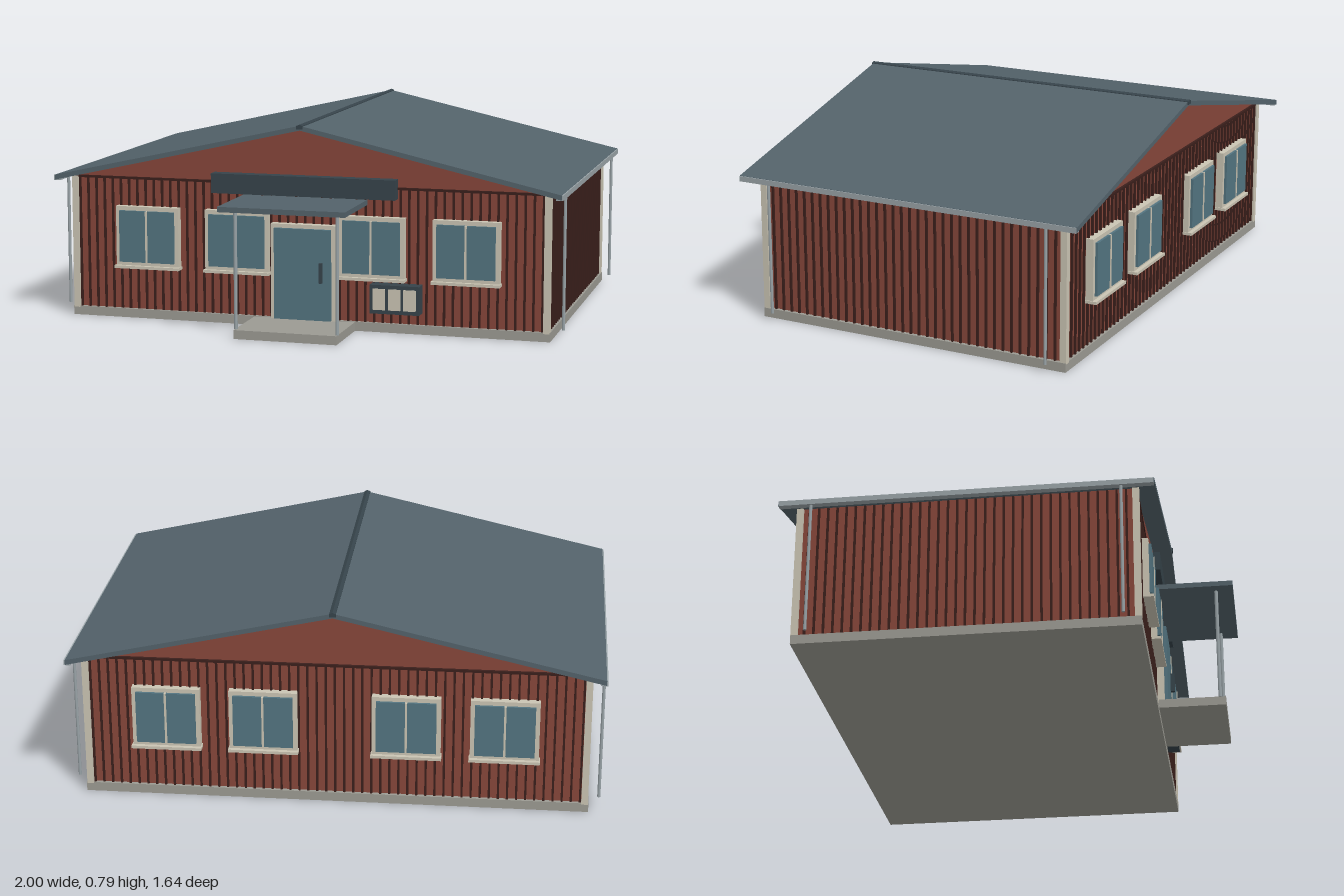
import * as THREE from 'three';

const paint = (color) => new THREE.MeshStandardMaterial({ color });
const RED = paint(0x86463a), DARK_RED = paint(0x3a1f1b), ROOF = paint(0x53626a), DARK = paint(0x36434a);
const TRIM = paint(0xcac4b3), GLASS = paint(0x537480), STONE = paint(0x9b9a92), METAL = paint(0x98a2a6);

// Box given by its lower and upper limits on each axis
function box(parent, name, mat, [x0, x1], [y0, y1], [z0, z1]) {
  const mesh = new THREE.Mesh(new THREE.BoxGeometry(x1 - x0, y1 - y0, z1 - z0), mat);
  mesh.position.set((x0 + x1) / 2, (y0 + y1) / 2, (z0 + z1) / 2);
  mesh.name = name;
  parent.add(mesh);
  return mesh;
}

// Vertical round pole
function pole(parent, name, mat, x, z, r, y0, y1) {
  const mesh = new THREE.Mesh(new THREE.CylinderGeometry(r, r, y1 - y0, 12), mat);
  mesh.position.set(x, (y0 + y1) / 2, z);
  mesh.name = name;
  parent.add(mesh);
}

// Outline in x and y, extruded symmetrically along z
function prism(parent, name, mat, points, halfDepth) {
  const shape = new THREE.Shape(points.map(([x, y]) => new THREE.Vector2(x, y)));
  const geo = new THREE.ExtrudeGeometry(shape, { depth: halfDepth * 2, bevelEnabled: false });
  geo.translate(0, 0, -halfDepth);
  const mesh = new THREE.Mesh(geo, mat);
  mesh.name = name;
  parent.add(mesh);
}

// Two-pane window; z = 0 is the wall face
function makeWindow(x) {
  const g = new THREE.Group();
  g.name = 'window';
  g.position.x = x;
  const w = 0.128, y0 = 0.208, y1 = 0.443;
  box(g, 'windowFrame', TRIM, [-w, w], [y0, y1], [-0.01, 0.03]);
  for (const s of [-1, 1]) {
    const a = s * 0.004, b = s * (w - 0.016);
    box(g, 'windowPane', GLASS, [Math.min(a, b), Math.max(a, b)], [y0 + 0.017, y1 - 0.016], [0.01, 0.04]);
  }
  box(g, 'windowMullion', TRIM, [-0.004, 0.004], [y0 + 0.017, y1 - 0.016], [0.01, 0.043]);
  box(g, 'windowSill', TRIM, [-w - 0.004, w + 0.004], [0.2, 0.211], [-0.01, 0.046]);
  return g;
}

// Gable wall furniture shared by the front and the back; z = 0 is the wall face
function makeGableSide() {
  const g = new THREE.Group();
  g.name = 'gableWall';
  for (let i = -27; i <= 27; i++) {
    const x = i * 0.034;
    box(g, 'wallRib', DARK_RED, [x - 0.004, x + 0.004], [0.035, 0.55], [-0.002, 0.008]);
  }
  box(g, 'gableBand', DARK_RED, [-0.93, 0.93], [0.547, 0.556], [-0.002, 0.01]);
  for (const x of [-0.632, -0.267, 0.267, 0.632]) g.add(makeWindow(x));
  return g;
}

export function createModel() {
  const model = new THREE.Group();
  model.name = 'officeBuilding';

  // Main building, centred on its own footprint
  const house = new THREE.Group();
  house.name = 'mainBuilding';
  house.position.z = -0.12;
  model.add(house);
  const W = 0.935, D = 0.62;
  box(house, 'foundation', STONE, [-0.95, 0.95], [0, 0.035], [-0.634, 0.634]);
  prism(house, 'walls', RED, [[-W, 0.03], [W, 0.03], [W, 0.556], [0, 0.767], [-W, 0.556]], D);

  const front = makeGableSide();
  front.position.z = D;
  const back = makeGableSide();
  back.position.z = -D;
  back.rotation.y = Math.PI;
  house.add(front, back);

  // Long sides: ribs, corner boards, gutters and downpipes
  for (const s of [-1, 1]) {
    for (let i = -17; i <= 17; i++) {
      const rib = box(house, 'wallRib', DARK_RED, [-0.005, 0.005], [0.035, 0.552], [-0.004, 0.004]);
      rib.position.x = s * (W + 0.003);
      rib.position.z = i * 0.0345;
    }
    for (const t of [-1, 1]) {
      const board = box(house, 'cornerBoard', TRIM, [-0.0125, 0.0125], [0.03, 0.553], [-0.0125, 0.0125]);
      board.position.x = s * 0.9355;
      board.position.z = t * 0.622;
      pole(house, 'downpipe', METAL, s * 0.989, t * 0.572, 0.006, 0.035, 0.55);
    }
    const gutter = box(house, 'gutter', METAL, [-0.013, 0.013], [0.541, 0.561], [-0.692, 0.692]);
    gutter.position.x = s * 0.987;
  }

  // Pitched roof and ridge cap
  prism(house, 'roof', ROOF, [[-0.995, 0.543], [0, 0.767], [0.995, 0.543], [0.995, 0.562], [0, 0.785], [-0.995, 0.562]], 0.694);
  prism(house, 'ridgeCap', DARK, [[-0.012, 0.772], [0.012, 0.772], [0.012, 0.785], [0, 0.79], [-0.012, 0.785]], 0.698);

  // Entrance: door, step, canopy and posts
  const entrance = new THREE.Group();
  entrance.name = 'entrance';
  model.add(entrance);
  box(entrance, 'doorFrame', TRIM, [-0.128, 0.128], [0.035, 0.403], [0.49, 0.535]);
  box(entrance, 'door', GLASS, [-0.112, 0.112], [0.037, 0.388], [0.51, 0.548]);
  box(entrance, 'doorHandle', DARK, [0.07, 0.082], [0.185, 0.262], [0.545, 0.565]);
  box(entrance, 'entranceStep', STONE, [-0.2, 0.2], [0, 0.034], [0.518, 0.775]);
  box(entrance, 'canopy', ROOF, [-0.245, 0.245], [0.485, 0.505], [0.5, 0.82]);
  for (const s of [-1, 1]) pole(entrance, 'canopyPost', METAL, s * 0.197, 0.753, 0.007, 0.034, 0.487);

  // Blank sign panel above the door
  box(model, 'signPanel', DARK, [-0.363, 0.363], [0.512, 0.588], [0.495, 0.547]);

  // Notice board with three sheets
  const board = new THREE.Group();
  board.name = 'noticeBoard';
  model.add(board);
  box(board, 'noticeBoardPanel', DARK, [0.267, 0.46], [0.08, 0.19], [0.495, 0.555]);
  for (let i = 0; i < 3; i++) {
    const x = 0.304 + i * 0.0595;
    box(board, 'noticeSheet', TRIM, [x - 0.024, x + 0.024], [0.095, 0.176], [0.55, 0.558]);
  }
  return model;
}
